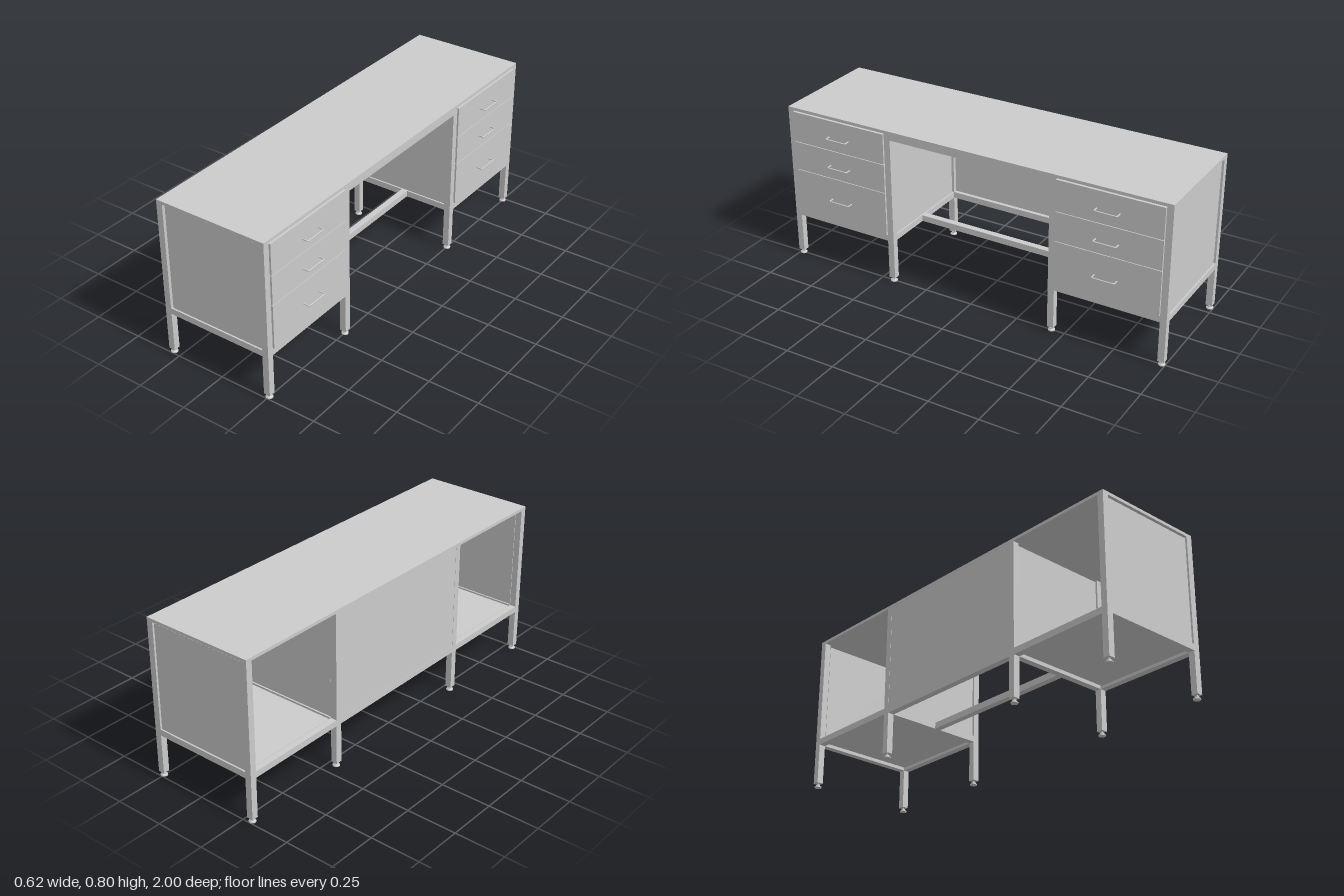
import * as THREE from 'three';

const material = new THREE.MeshStandardMaterial({ color: 0xcccccc });

// Box given by its min and max on each axis
function box(parent, name, [x0, x1], [y0, y1], [z0, z1]) {
  const mesh = new THREE.Mesh(new THREE.BoxGeometry(x1 - x0, y1 - y0, z1 - z0), material);
  mesh.position.set((x0 + x1) / 2, (y0 + y1) / 2, (z0 + z1) / 2);
  mesh.name = name;
  parent.add(mesh);
  return mesh;
}

const BACK = [-0.307, -0.275], FRONT = [0.235, 0.267];
const RAIL_Y = [0.222, 0.253], TOP_Y = 0.785;
const OUTER = [0.968, 1], INNER = [0.418, 0.45];

// Bent bar handle, centred on z = 0, pointing along +x
function handleGeometry() {
  const path = new THREE.CurvePath();
  const v = (x, z) => new THREE.Vector3(x, 0, z);
  const d = 0.029, h = 0.055, r = 0.008;
  path.add(new THREE.LineCurve3(v(0, -h), v(d - r, -h)));
  path.add(new THREE.QuadraticBezierCurve3(v(d - r, -h), v(d, -h), v(d, -h + r)));
  path.add(new THREE.LineCurve3(v(d, -h + r), v(d, h - r)));
  path.add(new THREE.QuadraticBezierCurve3(v(d, h - r), v(d, h), v(d - r, h)));
  path.add(new THREE.LineCurve3(v(d - r, h), v(0, h)));
  return new THREE.TubeGeometry(path, 48, 0.0035, 10, false);
}

// Levelling foot: broad pad, collar and threaded stem
function addFoot(parent, x, z) {
  const foot = new THREE.Group();
  foot.name = 'foot';
  const sections = [
    [0.017, 0.017, 0, 0.005],
    [0.011, 0.016, 0.005, 0.010],
    [0.010, 0.010, 0.010, 0.015],
    [0.004, 0.004, 0.015, 0.024],
  ];
  for (const [rTop, rBottom, y0, y1] of sections) {
    const part = new THREE.Mesh(new THREE.CylinderGeometry(rTop, rBottom, y1 - y0, 20), material);
    part.position.y = (y0 + y1) / 2;
    part.name = 'footSection';
    foot.add(part);
  }
  foot.position.set(x, 0, z);
  parent.add(foot);
}

// One drawer pedestal at the +z (s = 1) or -z (s = -1) end
function createPedestal(s, handle) {
  const g = new THREE.Group();
  g.name = 'pedestal';
  const span = ([a, b]) => (s > 0 ? [a, b] : [-b, -a]);

  for (const zr of [OUTER, INNER]) {
    const z = span(zr);
    for (const x of [BACK, FRONT]) {
      box(g, 'leg', x, [0.022, TOP_Y], z);
      addFoot(g, (x[0] + x[1]) / 2, (z[0] + z[1]) / 2);
    }
    box(g, 'sideRail', [BACK[1], FRONT[0]], RAIL_Y, z);
    // Side panel stands slightly inset, with a shadow gap to the frame
    box(g, 'sidePanel', [-0.268, 0.233], [0.25, 0.778], span([zr[0] + 0.008, zr[1] - 0.008]));
  }
  const between = span([INNER[1], OUTER[0]]);
  box(g, 'frontRail', FRONT, RAIL_Y, between);
  box(g, 'backRail', BACK, RAIL_Y, between);
  box(g, 'floorPanel', [-0.268, 0.235], [0.236, 0.248], span([0.456, 0.962]));

  // Three drawer fronts with handles
  const drawers = [[0.258, 0.478, 0.368], [0.481, 0.626, 0.548], [0.629, 0.782, 0.697]];
  for (const [y0, y1, handleY] of drawers) {
    box(g, 'drawerFront', [0.26, 0.275], [y0, y1], span([0.451, 0.967]));
    const pull = new THREE.Mesh(handle, material);
    pull.name = 'drawerHandle';
    pull.position.set(0.2745, handleY, s * 0.705);
    g.add(pull);
  }
  return g;
}

export function createModel() {
  const desk = new THREE.Group();
  desk.name = 'desk';
  const handle = handleGeometry();
  desk.add(createPedestal(1, handle), createPedestal(-1, handle));

  box(desk, 'deskTop', [-0.307, 0.267], [TOP_Y, 0.8], [-1, 1]);

  // Kneehole frame and modesty panel
  const knee = [-INNER[0], INNER[0]];
  box(desk, 'kneeholeTopRail', FRONT, [0.757, TOP_Y], knee);
  box(desk, 'backTopRail', [-0.303, -0.275], [0.757, TOP_Y], knee);
  box(desk, 'backBottomRail', BACK, RAIL_Y, knee);
  box(desk, 'modestyPanel', [-0.306, -0.294], [0.253, TOP_Y], knee);
  box(desk, 'stretcher', [-0.016, 0.016], RAIL_Y, knee);
  return desk;
}
